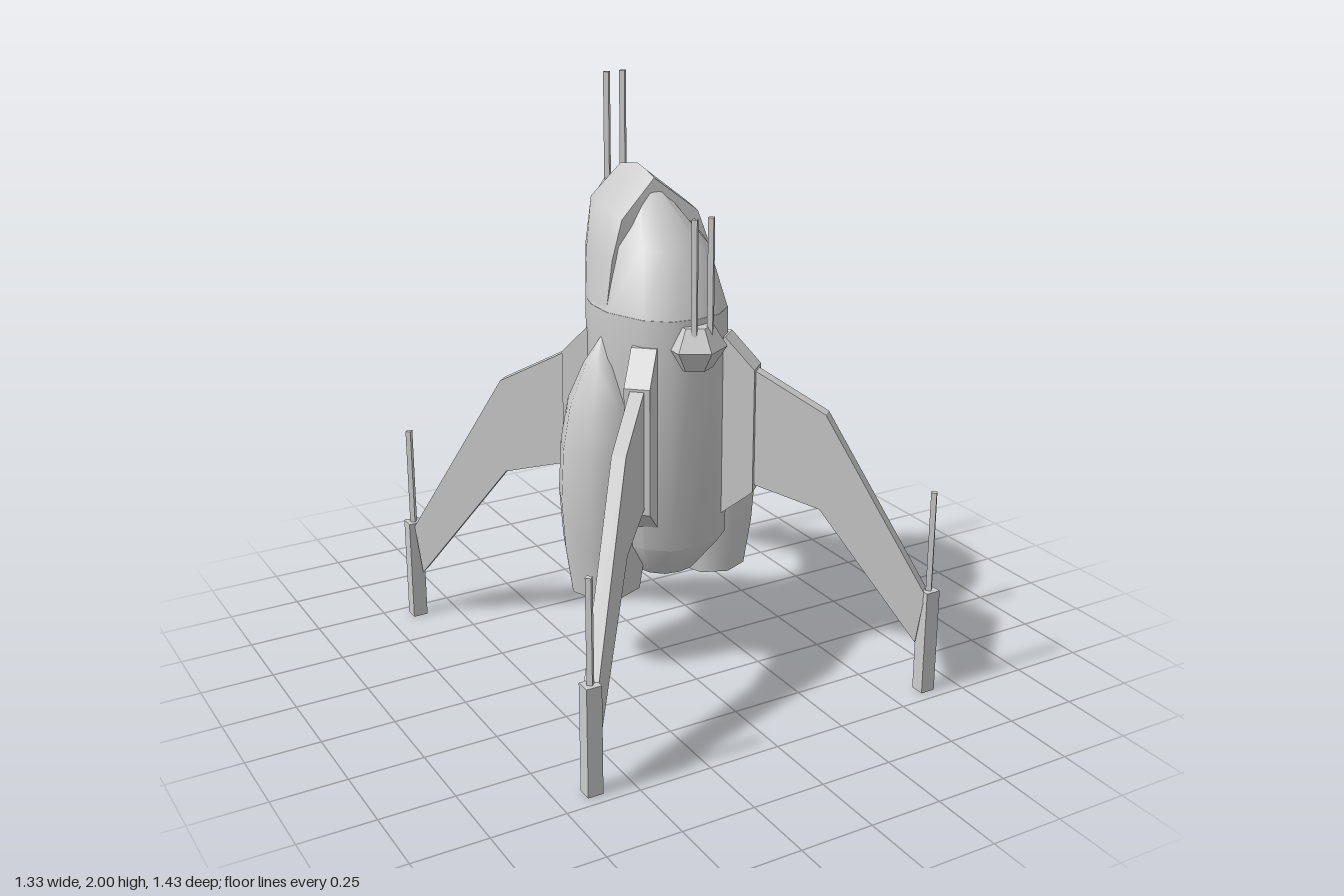
import * as THREE from 'three';
import { toCreasedNormals } from 'three/addons/utils/BufferGeometryUtils.js';

const material = new THREE.MeshStandardMaterial({ color: 0xcccccc, side: THREE.DoubleSide });

function add(parent, geometry, name, x = 0, y = 0, z = 0) {
  const mesh = new THREE.Mesh(geometry, material);
  mesh.name = name;
  mesh.position.set(x, y, z);
  parent.add(mesh);
  return mesh;
}

// Skin a stack of equal-length closed rings and cap both ends
function loft(rings, crease = 0.8) {
  const n = rings[0].length;
  const pos = rings.flat(2);
  const index = [];
  for (let i = 0; i < rings.length - 1; i++) {
    for (let j = 0; j < n; j++) {
      const a = i * n + j, b = i * n + (j + 1) % n;
      index.push(a, b, b + n, a, b + n, a + n);
    }
  }
  [0, rings.length - 1].forEach((r, end) => {
    const c = pos.length / 3;
    for (let k = 0; k < 3; k++) pos.push(rings[r].reduce((s, p) => s + p[k], 0) / n);
    for (let j = 0; j < n; j++) {
      const a = r * n + j, b = r * n + (j + 1) % n;
      index.push(...(end ? [c, a, b] : [c, b, a]));
    }
  });
  const g = new THREE.BufferGeometry();
  g.setAttribute('position', new THREE.Float32BufferAttribute(pos, 3));
  g.setIndex(index);
  return toCreasedNormals(g, crease);
}

// Horizontal hull section, front to back, mirrored in x
const half = [[0, 0.24], [0.09, 0.225], [0.16, 0.165], [0.215, 0.03],
  [0.215, -0.08], [0.19, -0.17], [0.14, -0.235], [0, -0.235]];
const outline = [...half, ...half.slice(1, -1).reverse().map(([x, z]) => [-x, z])];
const hullRing = (y, sx, sz, oz) => outline.map(([x, z]) => [x * sx, y, z * sz + oz]);

// Arched section across the hood, from right base over the ridge to left base
const arch = (pts) => [...pts, ...pts.slice(0, -1).reverse().map(([x, y, z]) => [-x, y, z])];

function extrudeProfile(points, thickness) {
  const shape = new THREE.Shape(points.map(([r, y]) => new THREE.Vector2(r, y)));
  return new THREE.ExtrudeGeometry(shape, { depth: thickness, bevelEnabled: false })
    .translate(0, 0, -thickness / 2);
}

function lathe(points, segments, crease) {
  const g = new THREE.LatheGeometry(points.map(([r, y]) => new THREE.Vector2(r, y)), segments);
  return toCreasedNormals(g, crease);
}

// Thin square barrel turned to a diamond
function addBarrel(parent, x, y0, y1, z) {
  add(parent, new THREE.CylinderGeometry(0.013, 0.013, y1 - y0, 4, 1).toNonIndexed(),
    'barrel', x, (y0 + y1) / 2, z).geometry.computeVertexNormals();
}

// Faceted turret with twin barrels
function addTurret(parent, name, y, z, barrelZ, top) {
  const turret = new THREE.Group();
  turret.name = name;
  parent.add(turret);
  const ball = lathe([[0, -0.072], [0.058, -0.072], [0.105, 0], [0.06, 0.072], [0, 0.072]], 6, 0.5);
  add(turret, ball, 'turretBall', 0, y, z);
  for (const x of [-0.03, 0.03]) addBarrel(turret, x, y, top, barrelZ);
}

// Swept fin with its mount, landing leg and gun barrel
function addFin(parent, name, x, z) {
  const group = new THREE.Group();
  group.name = name;
  parent.add(group);
  const mount = extrudeProfile([[0.15, 0.57], [0.225, 0.57], [0.335, 0.66],
    [0.335, 1.09], [0.235, 1.195], [0.15, 1.195]], 0.085);
  const fin = extrudeProfile([[0.3, 0.69], [0.56, 0.62], [0.9, 0.18],
    [0.925, 0.36], [0.572, 0.955], [0.3, 1.1]], 0.046);
  const angle = -Math.atan2(z, x);
  add(group, mount, 'finMount').rotation.y = angle;
  add(group, fin, 'finBlade').rotation.y = angle;
  add(group, new THREE.BoxGeometry(0.052, 0.37, 0.05), 'landingLeg', x, 0.185, z);
  addBarrel(group, x, 0.37, 0.72, z);
}

export function createModel() {
  const model = new THREE.Group();
  model.name = 'rocketShip';

  // Main hull with tapered base
  add(model, loft([
    hullRing(0.355, 0.56, 0.6, -0.015),
    hullRing(0.49, 1, 1, 0),
    hullRing(1.285, 1, 1, 0),
  ]), 'hull');

  // Canopy sloping back under the hood
  add(model, loft([
    hullRing(1.28, 1, 1, 0),
    hullRing(1.49, 0.76, 0.75, -0.025),
    hullRing(1.645, 0.25, 0.35, -0.11),
  ]), 'canopy');

  // Ridged hood over the rear half, with a swept front edge
  const edge = (x) => 0.02 - 0.06 * (1 - x / 0.215);
  add(model, loft([
    arch([[0.14, 1.27, -0.235], [0.145, 1.45, -0.25], [0.115, 1.6, -0.265], [0, 1.7, -0.267]]),
    arch([[0.19, 1.27, -0.17], [0.178, 1.45, -0.18], [0.14, 1.6, -0.17], [0, 1.72, -0.15]]),
    arch([[0.215, 1.27, -0.08], [0.188, 1.45, -0.08], [0.147, 1.59, -0.08], [0, 1.707, -0.09]]),
    arch([[0.215, 1.27], [0.185, 1.45], [0.142, 1.575], [0, 1.69]].map(([x, y]) => [x, y, edge(x)])),
  ]), 'hood');

  // Side engines with hollow nozzles
  for (const side of [1, -1]) {
    add(model, lathe([[0, 0.43], [0.112, 0.3], [0.123, 0.3], [0.148, 0.47], [0.16, 0.64],
      [0.15, 0.82], [0.122, 0.97], [0.065, 1.1], [0, 1.2]], 8, 0.9),
    side > 0 ? 'leftEngine' : 'rightEngine', side * 0.21, 0, -0.015);
  }

  // Four fins
  for (const side of [1, -1]) {
    const word = side > 0 ? 'Left' : 'Right';
    addFin(model, 'front' + word + 'Fin', side * 0.633, 0.686);
    addFin(model, 'rear' + word + 'Fin', side * 0.638, -0.69);
  }

  // Front and rear turrets
  addTurret(model, 'frontTurret', 1.192, 0.222, 0.268, 1.62);
  addTurret(model, 'rearTurret', 1.573, -0.262, -0.305, 2);

  return model;
}
